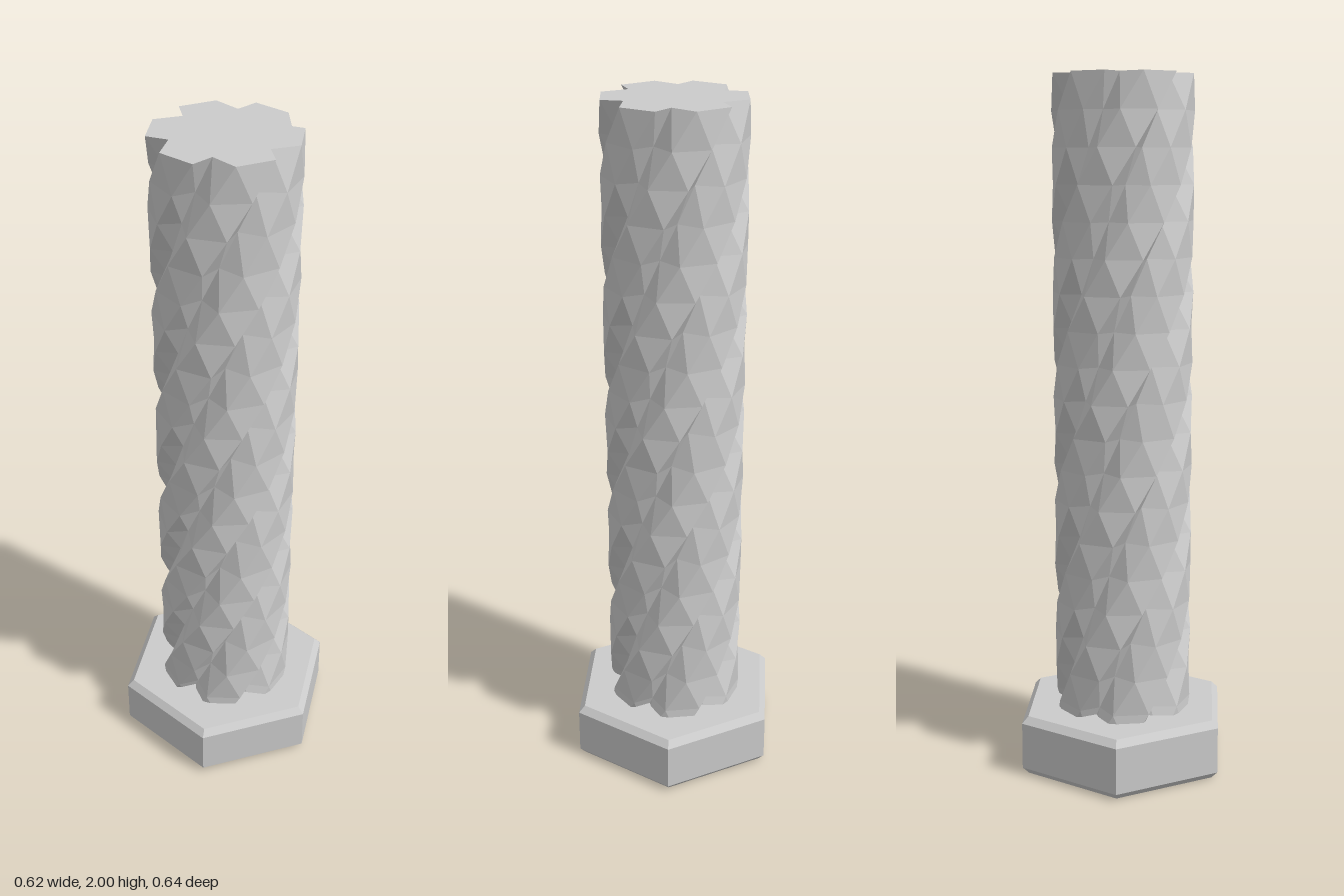
import * as THREE from 'three';

const rad = THREE.MathUtils.degToRad;
const HEIGHT = 2;
const APEX = -19.3; // angle of the flute bottoms and of the head corners

// Shaft: six-fluted section, swept upward through one full turn
function shaftGeometry() {
  const points = [];
  const add = (r, deg) => points.push(new THREE.Vector2(r * Math.cos(rad(deg)), r * Math.sin(rad(deg))));
  for (let i = 0; i < 6; i++) {
    add(0.2, -30 + 60 * i);
    add(0.147, APEX + 60 * i);
    add(0.2, 60 * i);
  }
  const geo = new THREE.ExtrudeGeometry(new THREE.Shape(points), {
    depth: HEIGHT, steps: 20, bevelEnabled: false,
  });
  geo.rotateX(-Math.PI / 2);

  const pos = geo.attributes.position;
  const up = new THREE.Vector3(0, 1, 0);
  const v = new THREE.Vector3();
  for (let i = 0; i < pos.count; i++) {
    v.fromBufferAttribute(pos, i);
    v.applyAxisAngle(up, (v.y - HEIGHT) * Math.PI);
    pos.setXYZ(i, v.x, v.y, v.z);
  }
  geo.computeVertexNormals();
  return geo;
}

// Head: hexagonal block with chamfered top and bottom rims
function headGeometry() {
  const profile = [[0, 0], [0.308, 0], [0.328, 0.02], [0.328, 0.156], [0.308, 0.176], [0, 0.176]]
    .map(([r, y]) => new THREE.Vector2(r, y));
  const geo = new THREE.LatheGeometry(profile, 6, rad(90 + APEX)).toNonIndexed();
  geo.computeVertexNormals();
  return geo;
}

export function createModel() {
  const material = new THREE.MeshStandardMaterial({ color: 0xcccccc, flatShading: true });
  const model = new THREE.Group();
  model.name = 'twistedBolt';

  const shaft = new THREE.Mesh(shaftGeometry(), material);
  shaft.name = 'twistedShaft';
  const head = new THREE.Mesh(headGeometry(), material);
  head.name = 'hexHead';

  model.add(shaft, head);
  return model;
}
